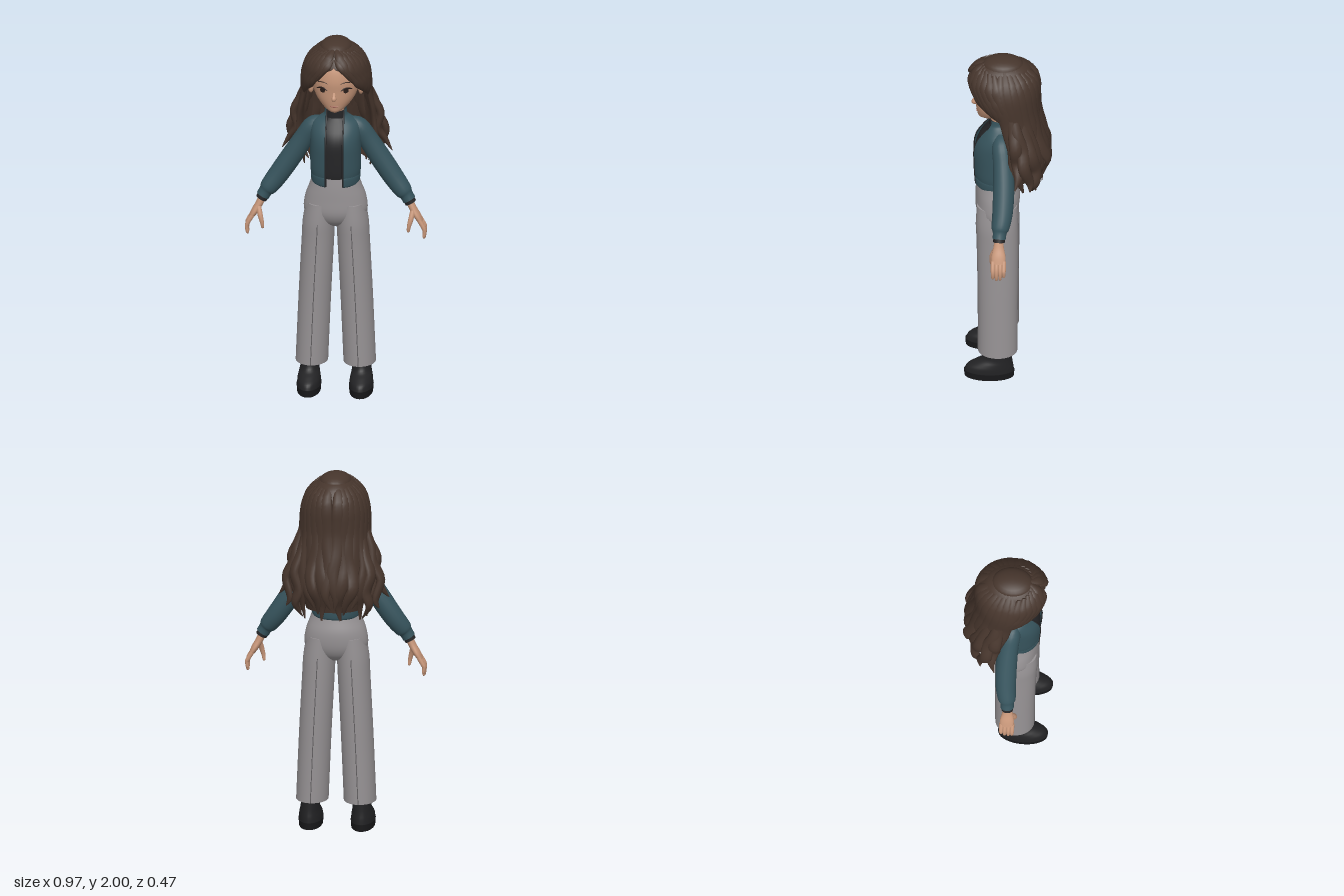
import * as THREE from 'three';

const paint = (name, color, side = THREE.FrontSide) =>
  Object.assign(new THREE.MeshStandardMaterial({ color, side }), { name });
const M = {
  skin: paint('skin', 0xc8977a),
  hair: paint('brown hair', 0x46352c, THREE.DoubleSide),
  jacket: paint('teal jacket', 0x36535c, THREE.DoubleSide),
  shirt: paint('black knit', 0x252527),
  pants: paint('grey trousers', 0x969294),
  crease: paint('trouser crease', 0x6b686a),
  shoe: paint('black leather', 0x222224),
  sole: paint('sole', 0x19191b),
  eye: paint('eye', 0x2c201c),
  lip: paint('lips', 0xa8685c),
};

// Smooth rows of numbers with a Catmull-Rom spline.
function smooth(keys, steps = 4) {
  const rows = [], last = keys.length - 1;
  for (let i = 0; i < last; i++) {
    const [a, b, c, d] = [keys[Math.max(0, i - 1)], keys[i], keys[i + 1], keys[Math.min(last, i + 2)]];
    for (let k = 0; k < steps; k++) {
      const t = k / steps;
      rows.push(b.map((v, j) => 0.5 * (2 * v + (c[j] - a[j]) * t
        + (2 * a[j] - 5 * v + 4 * c[j] - d[j]) * t * t + (3 * v - a[j] - 3 * c[j] + d[j]) * t ** 3)));
    }
  }
  return [...rows, keys[last]];
}

// Linear lookup of a section by height.
function at(keys, y) {
  let i = 0;
  while (i < keys.length - 2 && keys[i + 1][0] < y) i++;
  const t = THREE.MathUtils.clamp((y - keys[i][0]) / (keys[i + 1][0] - keys[i][0]), 0, 1);
  return keys[i].map((v, j) => v + (keys[i + 1][j] - v) * t);
}

// Join rings of points into a surface; closed rings get end caps.
function joinRings(rings, closed = true) {
  const n = rings[0].length, pos = rings.flat(2), idx = [];
  for (let i = 0; i < rings.length - 1; i++)
    for (let j = 0; j < (closed ? n : n - 1); j++) {
      const k = (j + 1) % n, a = i * n + j, b = i * n + k;
      idx.push(a, b, b + n, a, b + n, a + n);
    }
  if (closed) [rings[0], rings[rings.length - 1]].forEach((ring, top) => {
    const base = pos.length / 3;
    pos.push(...ring.flat());
    for (let j = 1; j < n - 1; j++) idx.push(base, base + (top ? j : j + 1), base + (top ? j + 1 : j));
  });
  const g = new THREE.BufferGeometry();
  g.setAttribute('position', new THREE.Float32BufferAttribute(pos, 3));
  g.setIndex(idx);
  g.computeVertexNormals();
  return g;
}

// Level ellipses [y, cx, cz, rx, rz, front opening angle], bottom to top.
function loft(keys, n = 32, steps = 4) {
  const open = keys[0].length > 5;
  return joinRings(smooth(keys, steps).map(([y, cx, cz, rx, rz, o = 0]) =>
    Array.from({ length: open ? n + 1 : n }, (_, j) => {
      const a = Math.max(0, o) + (2 * Math.PI - 2 * Math.max(0, o)) * j / n;
      return [cx + rx * Math.sin(a), y, cz + rz * Math.cos(a)];
    })), !open);
}

// Ellipse swept along a path of [x, y, z, half width, half thickness].
function sweep(keys, out, n = 12, steps = 4) {
  const rows = smooth(keys, steps), P = rows.map(r => new THREE.Vector3(r[0], r[1], r[2]));
  return joinRings(rows.map((r, i) => {
    const T = P[Math.min(i + 1, P.length - 1)].clone().sub(P[Math.max(i - 1, 0)]).normalize();
    const S = T.clone().cross(out(P[i])).normalize(), N = T.clone().cross(S);
    return Array.from({ length: n }, (_, j) => {
      const a = 2 * Math.PI * j / n;
      return P[i].clone().addScaledVector(S, Math.max(r[3], 0.0005) * Math.cos(a))
        .addScaledVector(N, Math.max(r[4], 0.0005) * Math.sin(a)).toArray();
    });
  }));
}
const outX = () => new THREE.Vector3(1, 0, 0);
const outZ = () => new THREE.Vector3(0, 0, 1);
const outHead = p => new THREE.Vector3(p.x, Math.max(0, p.y - 1.75) * 2, p.z);

const HEAD = [[1.612, 0, 0.11, 0.02, 0.035], [1.625, 0, 0.1, 0.045, 0.062], [1.65, 0, 0.08, 0.075, 0.088],
  [1.69, 0, 0.06, 0.105, 0.115], [1.74, 0, 0.04, 0.125, 0.14], [1.8, 0, 0.035, 0.132, 0.15],
  [1.87, 0, 0.03, 0.122, 0.142], [1.93, 0, 0.03, 0.085, 0.105], [1.96, 0, 0.03, 0.04, 0.05]];
const JACKET = [[1.235, 0, 0.065, 0.13, 0.117], [1.27, 0, 0.065, 0.135, 0.122], [1.34, 0, 0.065, 0.136, 0.125],
  [1.42, 0, 0.065, 0.136, 0.125], [1.48, 0, 0.06, 0.135, 0.112], [1.53, 0, 0.052, 0.122, 0.085],
  [1.562, 0, 0.052, 0.08, 0.064], [1.58, 0, 0.055, 0.062, 0.056], [1.61, 0, 0.058, 0.058, 0.052]];
const HAIR = [[1.27, 0, -0.06, 0.15, 0.11, 1.7], [1.4, 0, -0.04, 0.19, 0.155, 1.65], [1.55, 0, -0.02, 0.18, 0.15, 1.6],
  [1.68, 0, 0, 0.172, 0.155, 1.5], [1.75, 0, 0.015, 0.172, 0.17, 1.15], [1.8, 0, 0.02, 0.17, 0.175, 0.8],
  [1.86, 0, 0.025, 0.155, 0.178, 0.35], [1.89, 0, 0.028, 0.142, 0.174, 0], [1.95, 0, 0.03, 0.096, 0.13, 0],
  [1.985, 0, 0.03, 0.03, 0.045, 0]];
const front = (keys, x, y) => {
  const r = at(keys, y);
  return r[2] + r[4] * Math.sqrt(Math.max(0, 1 - (x / r[3]) ** 2));
};
const opened = (keys, gap) => keys.map(k => [...k, Math.asin(gap / k[3])]);

// A wavy lock that follows the hair surface from the parting downwards.
function lock(s, a0, a1, y0, y1, w, flare, phase) {
  const keys = [], n = 10;
  for (let i = 0; i <= n; i++) {
    const t = i / n, y = y0 + (y1 - y0) * t, r = at(HAIR, y);
    const low = THREE.MathUtils.smoothstep(1.75 - y, 0, 0.4);
    const wave = Math.sin(t * 13 + phase) * low;
    const a = a0 + (a1 - a0) * t ** 0.8 + 0.09 * wave;
    const k = 1.02 + flare * low + 0.05 * Math.cos(t * 13 + phase) * low;
    const fat = Math.min(1, 0.35 + t * 4) * (t > 0.75 ? Math.max(0.06, (1 - t) / 0.25) ** 0.7 : 1);
    keys.push([s * r[3] * k * Math.sin(a), y, r[2] + r[4] * k * Math.cos(a), w * fat, 0.017 * fat]);
  }
  return sweep(keys, outHead, 10, 3);
}

export function createModel() {
  const model = new THREE.Group();
  const add = (name, geometry, material, parent = model) => {
    const m = new THREE.Mesh(geometry, material);
    m.name = name;
    parent.add(m);
    return m;
  };
  const group = name => {
    const g = new THREE.Group();
    g.name = name;
    model.add(g);
    return g;
  };

  // Head and face
  const head = group('head');
  add('face', loft(HEAD, 40), M.skin, head);
  add('neck', loft([[1.53, 0, 0.05, 0.045, 0.042], [1.65, 0, 0.055, 0.045, 0.045]], 24), M.skin, head);
  add('nose', sweep([[0, 1.745, 0.172, 0.006, 0.006], [0, 1.72, 0.181, 0.01, 0.01],
    [0, 1.704, 0.184, 0.013, 0.015], [0, 1.694, 0.174, 0.006, 0.005]], outZ), M.skin, head);
  const onFace = (pts, s, w) => pts.map(([x, y], i) =>
    [s * x, y, front(HEAD, x, y) + 0.002, w * (i % (pts.length - 1) ? 1 : 0.3), 0.002]);
  add('mouth', sweep(onFace([[-0.022, 1.657], [0, 1.655], [0.022, 1.657]], 1, 0.0045), outZ), M.lip, head);

  for (const s of [1, -1]) {
    const side = s > 0 ? 'left' : 'right';
    const ear = add(side + 'Ear', new THREE.SphereGeometry(1, 16, 12), M.skin, head);
    ear.scale.set(0.016, 0.036, 0.024);
    ear.position.set(s * 0.134, 1.722, 0.045);
    const eye = new THREE.CircleGeometry(1, 20).scale(0.014, 0.014, 1).translate(s * 0.063, 1.748, 0);
    const p = eye.attributes.position;
    for (let i = 0; i < p.count; i++) p.setZ(i, front(HEAD, p.getX(i), p.getY(i)) + 0.003);
    eye.computeVertexNormals();
    add(side + 'Eye', eye, M.eye, head);
    add(side + 'Lashes', sweep(onFace([[0.036, 1.75], [0.055, 1.761], [0.075, 1.761], [0.095, 1.75]], s, 0.005), outZ), M.eye, head);
    add(side + 'Brow', sweep(onFace([[0.035, 1.79], [0.06, 1.798], [0.09, 1.79]], s, 0.003), outZ), M.hair, head);
  }

  // Hair: base shell, combed locks, fringe and loose curls
  const hair = group('hair');
  add('hairBase', loft(HAIR, 48), M.hair, hair);
  const crown = add('crown', new THREE.SphereGeometry(1, 24, 12), M.hair, hair);
  crown.scale.set(0.085, 0.045, 0.11);
  crown.position.set(0, 1.952, 0.03);
  for (const s of [1, -1]) {
    for (let i = 0; i < 8; i++) {
      const a = 1.68 + i * 0.205;
      add('longLock', lock(s, a - 0.25, a, 1.975, 1.23 + 0.035 * ((i * 2) % 3), 0.037, 0.12 + 0.08 * (i % 2), i * 1.7 + s * 0.5), M.hair, hair);
    }
    for (let i = 0; i < 6; i++)
      add('combedLock', lock(s, 0.12 + i * 0.22, 0.98 + i * 0.15, 1.965 - 0.004 * i, 1.735 - i * 0.022, 0.034, 0.04, i), M.hair, hair);
    add('fringe', lock(s, 0.06, 0.78, 1.93, 1.785, 0.027, 0, 0), M.hair, hair);
    const curls = [
      [[0.165, 1.76, 0.01], [0.185, 1.65, -0.03], [0.23, 1.55, -0.045], [0.215, 1.46, -0.05], [0.255, 1.39, -0.06], [0.295, 1.33, -0.04]],
      [[0.165, 1.72, -0.03], [0.2, 1.62, -0.05], [0.215, 1.53, -0.08], [0.255, 1.44, -0.09], [0.23, 1.34, -0.12], [0.25, 1.29, -0.12]],
      [[0.15, 1.7, -0.07], [0.175, 1.58, -0.1], [0.205, 1.48, -0.13], [0.18, 1.39, -0.15], [0.2, 1.31, -0.15], [0.16, 1.235, -0.13]]];
    const widths = [0.022, 0.034, 0.036, 0.033, 0.024, 0.003];
    for (const c of curls)
      add('curl', sweep(c.map(([x, y, z], i) => [s * x, y, z, widths[i], widths[i] * 0.65]), outHead), M.hair, hair);
  }

  // Knit top and open jacket
  add('knitTop', loft(JACKET.slice(0, 7).map(([y, x, z, a, b]) => [y, x, z, a - 0.01, b - 0.012])), M.shirt);
  add('rollNeck', loft([[1.54, 0, 0.055, 0.054, 0.05], [1.57, 0, 0.056, 0.052, 0.048], [1.6, 0, 0.058, 0.048, 0.047]]), M.shirt);
  add('jacketBody', loft(opened(JACKET, 0.046), 48), M.jacket);
  add('jacketHem', loft(opened([[1.19, 0, 0.065, 0.124, 0.114], [1.2, 0, 0.065, 0.13, 0.119],
    [1.235, 0, 0.065, 0.132, 0.121], [1.25, 0, 0.065, 0.128, 0.116]], 0.046), 48), M.jacket);
  for (const s of [1, -1])
    add('zipEdge', sweep([1.195, 1.27, 1.34, 1.42, 1.48, 1.53, 1.565, 1.605].map(y =>
      [s * 0.046, y, front(JACKET, 0.046, y) + 0.001, 0.0045, 0.003]), outZ, 8), M.shirt);

  // Arms and hands
  for (const s of [1, -1]) {
    const arm = group(s > 0 ? 'leftArm' : 'rightArm');
    const limb = (name, keys, mat) =>
      add(name, sweep(keys.map(([x, y, z, w, t = w]) => [s * x, y, z, w, t]), outX, 20), mat, arm);
    limb('sleeve', [[0.075, 1.53, 0.045, 0.03], [0.12, 1.495, 0.035, 0.052], [0.17, 1.42, 0.025, 0.054],
      [0.238, 1.31, 0.02, 0.057], [0.31, 1.2, 0.024, 0.055], [0.36, 1.132, 0.035, 0.048],
      [0.376, 1.11, 0.038, 0.037], [0.392, 1.083, 0.04, 0.036]], M.jacket);
    limb('cuff', [[0.385, 1.094, 0.04, 0.032], [0.4, 1.066, 0.041, 0.031]], M.shirt);
    limb('palm', [[0.394, 1.075, 0.041, 0.023, 0.021], [0.412, 1.035, 0.043, 0.029, 0.02],
      [0.435, 0.995, 0.043, 0.038, 0.019], [0.455, 0.96, 0.043, 0.036, 0.013]], M.skin);
    for (let f = 0; f < 4; f++) {
      const z = 0.014 + f * 0.0195, drop = [0.02, 0.004, 0, 0.01][f];
      limb('finger', [[0.447, 0.975, z, 0.0115], [0.47, 0.935, z, 0.0115],
        [0.476, 0.9 + drop, z, 0.01], [0.472, 0.872 + drop, z, 0.008], [0.469, 0.865 + drop, z, 0.002]], M.skin);
    }
    limb('thumb', [[0.414, 1.03, 0.058, 0.014], [0.404, 0.985, 0.076, 0.014], [0.394, 0.945, 0.082, 0.011],
      [0.39, 0.915, 0.08, 0.008], [0.39, 0.908, 0.08, 0.002]], M.skin);
  }

  // Wide trousers
  add('hips', loft([[0.945, 0, 0.06, 0.06, 0.05], [0.975, 0, 0.06, 0.13, 0.09], [1.03, 0, 0.06, 0.17, 0.115],
    [1.11, 0, 0.058, 0.162, 0.118], [1.18, 0, 0.065, 0.138, 0.109], [1.25, 0, 0.07, 0.118, 0.098]], 40), M.pants);
  const LEG = [[0.157, 0.128, 0.055, 0.087, 0.105], [0.4, 0.118, 0.055, 0.087, 0.105], [0.6, 0.109, 0.055, 0.087, 0.107],
    [0.85, 0.096, 0.057, 0.087, 0.11], [0.97, 0.09, 0.06, 0.086, 0.112], [1.08, 0.08, 0.06, 0.076, 0.108]];
  for (const s of [1, -1]) {
    const leg = group(s > 0 ? 'leftLeg' : 'rightLeg');
    const flip = keys => keys.map(([y, x, ...r]) => [y, s * x, ...r]);
    add('trouserLeg', loft(flip(LEG)), M.pants, leg);
    for (const f of [1, -1])
      add('crease', sweep(LEG.slice(0, 5).map(([y, x, z, , rz]) =>
        [s * x, y, z + f * rz, 0.0025, 0.002]), outZ, 6), M.crease, leg);
    // Ankle boots
    add('sole', loft(flip([[0, 0.14, 0.1, 0.063, 0.132], [0.038, 0.14, 0.1, 0.066, 0.135]]), 36), M.sole, leg);
    add('boot', loft(flip([[0.036, 0.14, 0.1, 0.063, 0.131], [0.065, 0.14, 0.095, 0.062, 0.124],
      [0.09, 0.14, 0.077, 0.057, 0.102], [0.12, 0.139, 0.054, 0.051, 0.076], [0.19, 0.138, 0.047, 0.048, 0.066]]), 36), M.shoe, leg);
  }
  return model;
}
